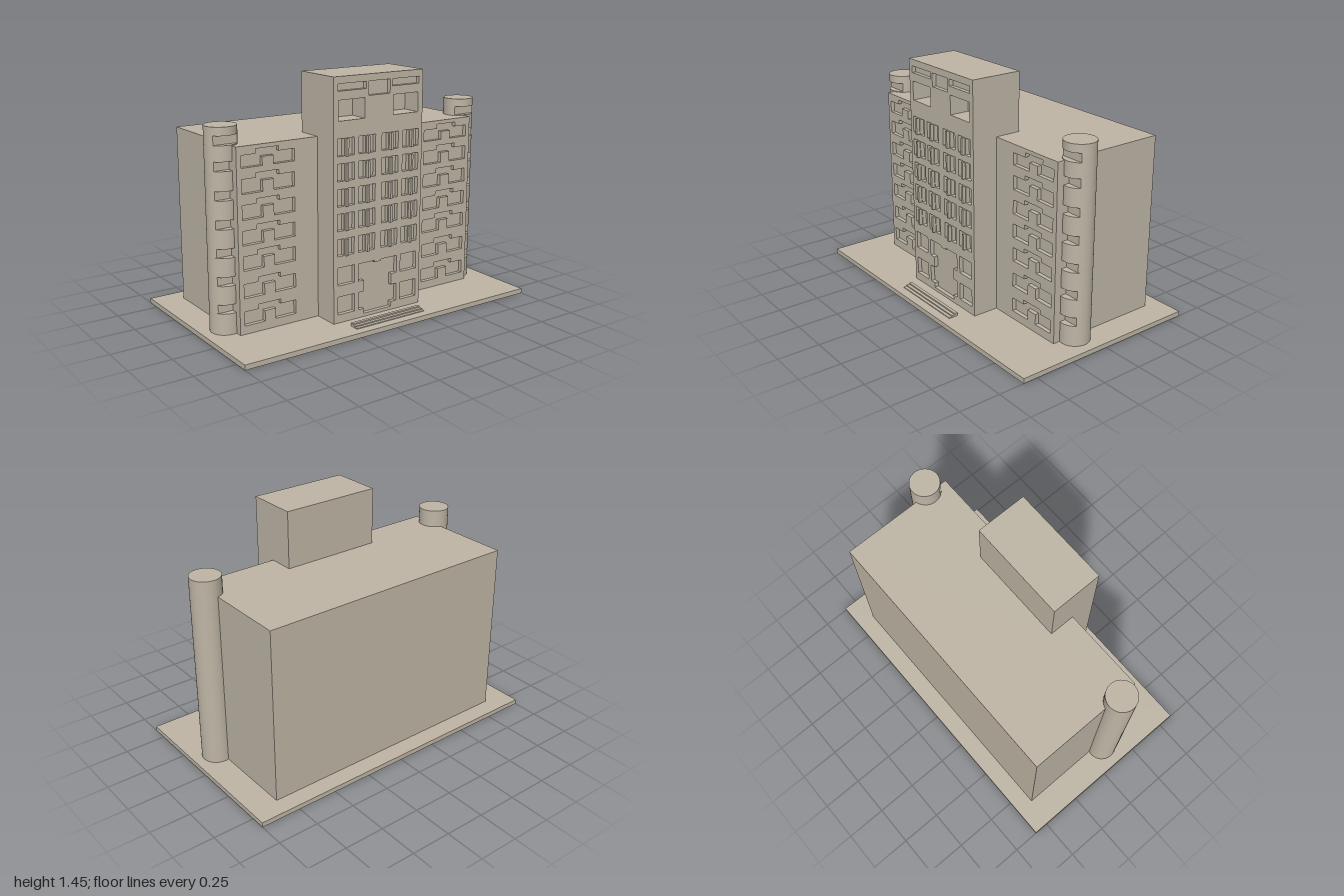
import * as THREE from 'three';
import { toCreasedNormals } from 'three/addons/utils/BufferGeometryUtils.js';

const GROUND = 0.03;

export function createModel() {
  const model = new THREE.Group();
  model.name = 'building';
  const stone = new THREE.MeshStandardMaterial({ color: 0xbfb6a6 });
  stone.name = 'warm stone';

  const add = (name, geometry, parent = model) => {
    const mesh = new THREE.Mesh(geometry, stone);
    mesh.name = name;
    parent.add(mesh);
    return mesh;
  };
  // Box given by its limits on each axis
  const box = (name, x0, x1, y0, y1, z0, z1, parent) => {
    const g = new THREE.BoxGeometry(x1 - x0, y1 - y0, z1 - z0);
    g.translate((x0 + x1) / 2, (y0 + y1) / 2, (z0 + z1) / 2);
    return add(name, g, parent);
  };
  const outline = (points) => points.map(([x, y]) => new THREE.Vector2(x, y));
  const rect = (x0, x1, y0, y1) => [[x0, y0], [x1, y0], [x1, y1], [x0, y1]];
  const mirror = (points) => points.map(([x, y]) => [-x, y]).reverse();
  // Wall slab pierced by window outlines
  const wall = (name, border, holes, z0, z1) => {
    const shape = new THREE.Shape(outline(border));
    for (const h of holes) shape.holes.push(new THREE.Path(outline(h)));
    const g = new THREE.ExtrudeGeometry(shape, { depth: z1 - z0, bevelEnabled: false });
    g.translate(0, 0, z0);
    return add(name, g);
  };

  // Ground slab and main block
  box('groundSlab', -1, 1, 0, GROUND, -0.59, 0.59);
  box('mainBlock', -0.83, 0.83, GROUND, 1.1, -0.48, 0.215);

  // Wing facades with stepped, notched windows
  const wingWindows = [0.08, 0.24, 0.4, 0.545, 0.69, 0.835, 0.98].map((y) => {
    const top = y > 0.9 ? 0.097 : 0.11;
    const shoulder = top - 0.027;
    const notch = top - 0.047;
    return [
      [0.465, y], [0.6, y], [0.6, y + notch], [0.67, y + notch], [0.67, y], [0.8, y],
      [0.8, y + shoulder], [0.71, y + shoulder], [0.71, y + top],
      [0.565, y + top], [0.565, y + shoulder], [0.465, y + shoulder],
    ];
  });
  // Asymmetric panes read the same on both wings once mirrored
  const wingBorder = rect(0.3, 0.83, GROUND, 1.1);
  wall('leftWingFacade', wingBorder, wingWindows, 0.215, 0.24);
  wall('rightWingFacade', mirror(wingBorder), wingWindows.map(mirror), 0.215, 0.24);

  // Central tower: core, deep loggia layer, thin window skin
  const towerBorder = rect(-0.312, 0.312, GROUND, 1.45);
  const loggia = rect(0.1, 0.278, 1.205, 1.32);
  const loggias = [loggia, mirror(loggia)];
  box('towerCore', -0.312, 0.312, GROUND, 1.45, 0.08, 0.28);
  wall('towerLoggiaLayer', towerBorder, loggias, 0.28, 0.375);

  const towerHoles = [...loggias, rect(-0.075, 0.075, 1.33, 1.41)];
  const topStrip = rect(0.092, 0.284, 1.37, 1.41);
  towerHoles.push(topStrip, mirror(topStrip));
  for (const y of [0.08, 0.255]) {
    const side = rect(0.167, 0.284, y, y + 0.107);
    towerHoles.push(side, mirror(side));
  }
  // Entrance merged with its flanking windows
  const half = [
    [0.1, 0.05], [0.1, 0.08], [0.138, 0.08], [0.138, 0.187], [0.1, 0.187],
    [0.1, 0.255], [0.138, 0.255], [0.138, 0.36], [0.024, 0.36], [0.024, 0.35],
  ];
  towerHoles.push([...half, ...mirror(half)]);

  // Paired panes, each pair with a projecting fin
  const fins = new THREE.Group();
  fins.name = 'windowFins';
  model.add(fins);
  for (const y of [0.43, 0.578, 0.72, 0.865, 1.007]) {
    for (const x of [-0.228, -0.082, 0.08, 0.228]) {
      towerHoles.push(rect(x - 0.058, x - 0.012, y, y + 0.1));
      towerHoles.push(rect(x + 0.012, x + 0.058, y, y + 0.1));
      box('windowFin', x - 0.007, x + 0.007, y, y + 0.1, 0.39, 0.42, fins);
    }
  }
  wall('towerFacade', towerBorder, towerHoles, 0.375, 0.4);

  // Corner stair towers with flat-backed slots
  const stairTop = 1.205;
  const slotHeight = 0.052;
  const slots = [0.155, 0.316, 0.478, 0.64, 0.802, 0.964, 1.105];
  for (const side of [1, -1]) {
    const stair = new THREE.Group();
    stair.name = side > 0 ? 'leftStairTower' : 'rightStairTower';
    stair.position.set(0.85 * side, 0, 0.107);
    model.add(stair);
    const drum = (name, y0, y1, slotted) => {
      const g = new THREE.CylinderGeometry(0.092, 0.092, y1 - y0, 48);
      g.translate(0, (y0 + y1) / 2, 0);
      const p = g.attributes.position;
      if (slotted) {
        for (let i = 0; i < p.count; i++) p.setZ(i, Math.min(p.getZ(i), 0.053));
      }
      add(name, toCreasedNormals(g, 0.5), stair);
    };
    let y = GROUND;
    for (const s of slots) {
      drum('stairDrum', y, s, false);
      drum('stairSlot', s, s + slotHeight, true);
      y = s + slotHeight;
    }
    drum('stairCap', y, stairTop, false);
  }

  // Entrance steps
  const steps = [[0.495, 0.05], [0.515, 0.042], [0.535, 0.035]];
  steps.forEach(([z, y], i) => {
    box('entranceStep', -0.245, 0.245, GROUND, y, i ? steps[i - 1][0] : 0.475, z);
  });

  return model;
}
